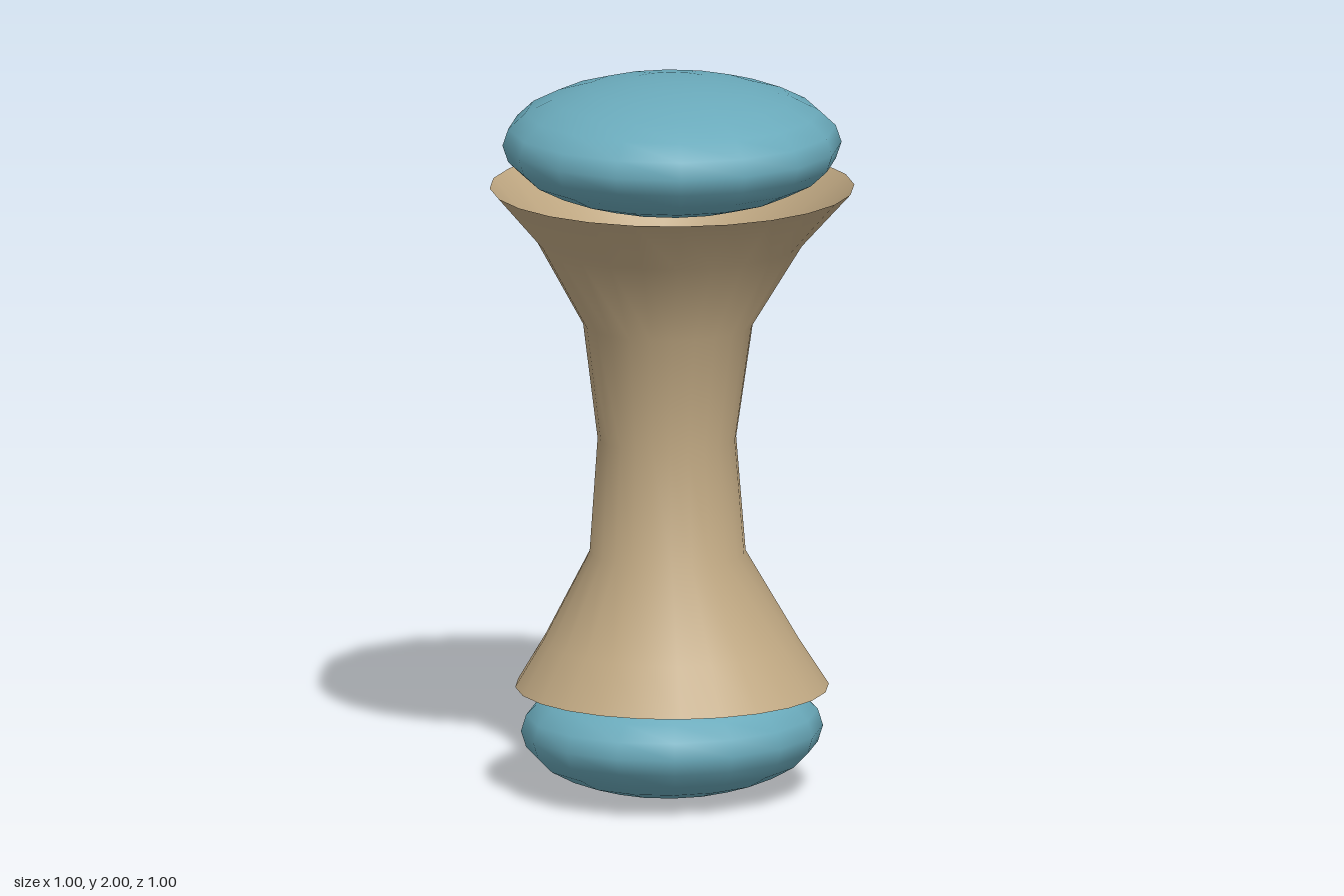
import * as THREE from 'three';

const tan = new THREE.MeshStandardMaterial({ color: 0xc2aa84, side: THREE.DoubleSide });
const teal = new THREE.MeshStandardMaterial({ color: 0x6aaabb });

// Rings of the waisted body: radius, height, forward shift of the centre
const rings = [
  [0.43, 0.30, 0],
  [0.35, 0.43, 0.005],
  [0.214, 0.68, 0.018],
  [0.19, 1.0, 0.021],
  [0.233, 1.32, 0.016],
  [0.367, 1.55, 0.005],
  [0.5, 1.70, 0],
];

// Open flared tube whose middle bows slightly forward
function makeBody() {
  const profile = rings.map(([r, y]) => new THREE.Vector2(r, y));
  const geometry = new THREE.LatheGeometry(profile, 24);
  const position = geometry.attributes.position;
  for (let i = 0; i < position.count; i++) {
    position.setZ(i, position.getZ(i) + rings[i % rings.length][2]);
  }
  const mesh = new THREE.Mesh(geometry, tan);
  mesh.name = 'flaredBody';
  return mesh;
}

// Flattened cushion sitting in an open end
function makeCushion(name, y, rx, ry, rz) {
  const geometry = new THREE.SphereGeometry(1, 16, 12);
  geometry.scale(rx, ry, rz);
  const mesh = new THREE.Mesh(geometry, teal);
  mesh.name = name;
  mesh.position.y = y;
  return mesh;
}

export function createModel() {
  const model = new THREE.Group();
  model.name = 'waistedStand';
  model.add(
    makeBody(),
    makeCushion('topCushion', 1.82, 0.465, 0.18, 0.465),
    makeCushion('bottomCushion', 0.18, 0.4, 0.175, 0.43),
  );
  return model;
}
